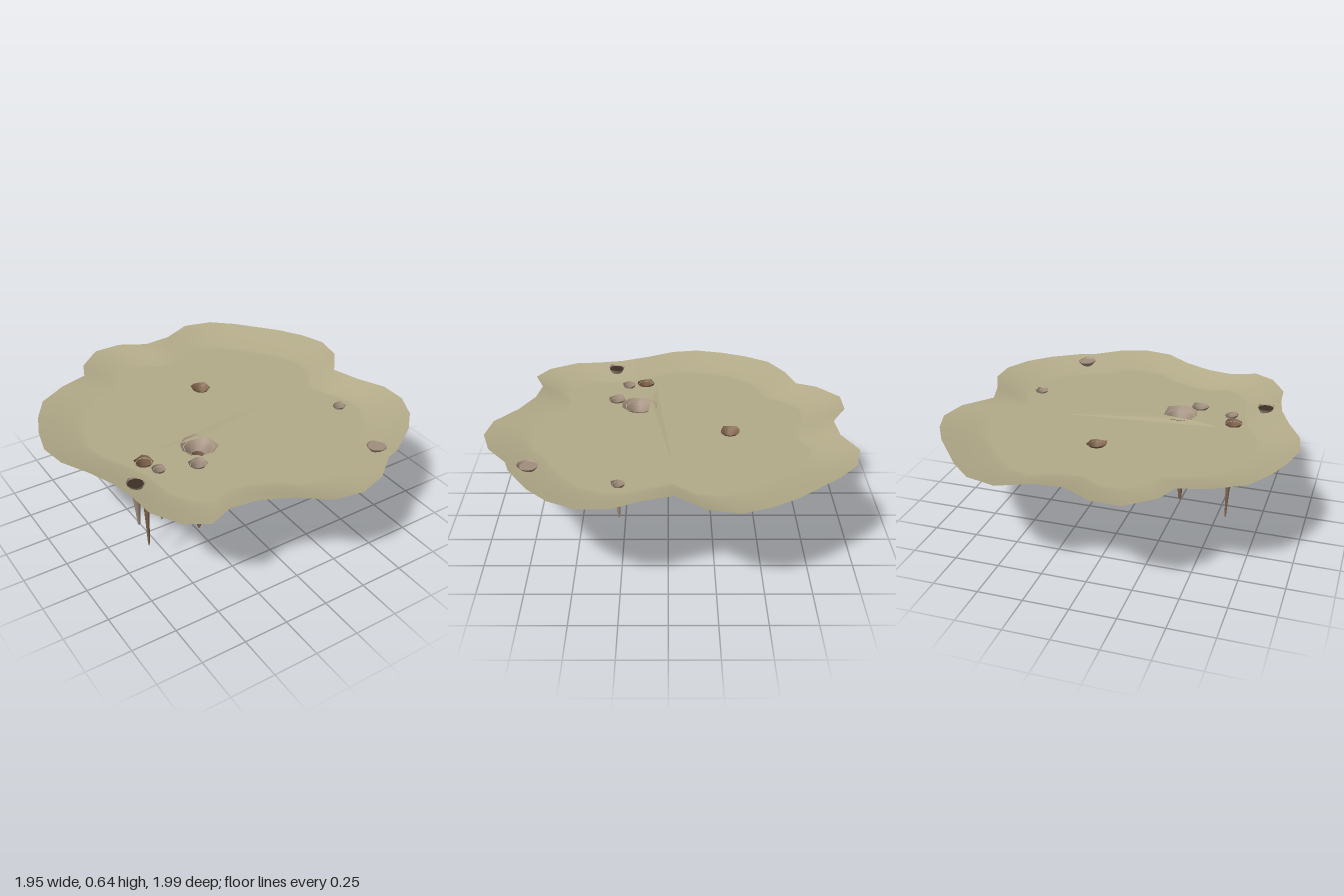
import * as THREE from 'three';

const RIM_Y = 0.64, FLOOR_Y = 0.59, FLOOR_SCALE = 0.76;

// Wavy rim, clockwise seen from above: x, z
const OUTLINE = [
  [-0.28, -1], [-0.12, -1], [0.03, -0.915], [0.19, -0.925], [0.36, -1], [0.525, -0.957], [0.646, -0.85],
  [0.836, -0.624], [0.92, -0.487], [0.97, -0.344], [0.94, -0.185], [0.815, -0.03], [0.863, 0.127],
  [0.935, 0.28], [0.935, 0.43], [0.863, 0.577], [0.75, 0.69], [0.57, 0.805], [0.49, 0.83], [0.35, 0.94],
  [0.19, 0.99], [0.03, 0.963], [-0.12, 0.847], [-0.28, 0.77], [-0.425, 0.746], [-0.565, 0.8], [-0.68, 0.73],
  [-0.77, 0.57], [-0.78, 0.43], [-0.805, 0.29], [-0.87, 0.127], [-0.95, -0.03], [-0.975, -0.185],
  [-0.937, -0.344], [-0.88, -0.487], [-0.79, -0.63], [-0.63, -0.72], [-0.467, -0.767], [-0.42, -0.88],
];

// Hanging spikes: mouth centre, tip position, mouth radius, neck radius, tip radius
const SPIKES = [
  { name: 'largeSpike', x: -0.25, z: 0.165, tip: [-0.26, 0.04, 0.17], r: 0.1, neck: 0.045, end: 0.011, mat: 'brown', collar: true },
  { name: 'longSpike', x: -0.565, z: 0.135, tip: [-0.55, 0, 0.11], r: 0.052, neck: 0.034, end: 0.005, mat: 'brown' },
  { name: 'twinSpike', x: -0.53, z: 0.235, tip: [-0.525, 0.26, 0.23], r: 0.037, neck: 0.021, end: 0.007, mat: 'pale' },
  { name: 'middleSpike', x: -0.335, z: 0.3, tip: [-0.34, 0.29, 0.305], r: 0.05, neck: 0.026, end: 0.01, mat: 'pale' },
  { name: 'rearSpike', x: 0.075, z: -0.34, tip: [0.08, 0.475, -0.33], r: 0.055, neck: 0.02, end: 0.004, mat: 'brown' },
  { name: 'sideSpike', x: 0.63, z: 0.25, tip: [0.635, 0.4, 0.25], r: 0.037, neck: 0.02, end: 0.006, mat: 'pale' },
  { name: 'outerSpike', x: -0.71, z: 0.32, tip: [-0.705, 0.365, 0.32], r: 0.05, neck: 0.026, end: 0.007, mat: 'pale', onRim: 'dark' },
  { name: 'frontSpike', x: 0.51, z: 0.71, tip: [0.51, 0.54, 0.715], r: 0.055, neck: 0.022, end: 0.004, mat: 'pale', onRim: 'pale' },
];

function randomFrom(seed) {
  return () => (seed = (seed * 16807) % 2147483647) / 2147483647;
}

// Skin a list of closed rings of [x, y, z]
function loft(rings) {
  const n = rings[0].length, index = [];
  for (let k = 0; k < rings.length - 1; k++) {
    for (let i = 0; i < n; i++) {
      const j = (i + 1) % n, a = k * n + i, b = k * n + j;
      index.push(a, b, a + n, b, b + n, a + n);
    }
  }
  const geo = new THREE.BufferGeometry();
  geo.setAttribute('position', new THREE.Float32BufferAttribute(rings.flat(2), 3));
  geo.setIndex(index);
  geo.computeVertexNormals();
  return geo;
}

export function createModel() {
  const group = new THREE.Group();
  const material = (name, color) => {
    const m = new THREE.MeshStandardMaterial({ color, side: THREE.DoubleSide });
    m.name = name;
    return m;
  };
  const mats = {
    stone: material('sandStone', 0xb3ab89),
    brown: material('brownRock', 0x80634b),
    pale: material('paleRock', 0xa08d7c),
    dark: material('darkHollow', 0x3d3026),
  };
  const add = (name, geo, mat, parent = group) => {
    const mesh = new THREE.Mesh(geo, mats[mat]);
    mesh.name = name;
    parent.add(mesh);
    return mesh;
  };

  // Sloping rim of the basin
  const profile = [[FLOOR_SCALE, FLOOR_Y], [0.8, FLOOR_Y + 0.004], [0.9, 0.615], [1, RIM_Y]];
  add('basinRim', loft(profile.map(([s, y]) => OUTLINE.map(([x, z]) => [x * s, y, z * s]))), 'stone');

  // Flat floor pierced below each mouth
  const floor = new THREE.Shape(OUTLINE.map(([x, z]) => new THREE.Vector2(x * FLOOR_SCALE, -z * FLOOR_SCALE)));
  for (const s of SPIKES.filter((s) => !s.onRim)) {
    const hole = new THREE.Path();
    hole.absarc(s.x, -s.z, s.r * 0.8, 0, Math.PI * 2, true);
    floor.holes.push(hole);
  }
  const floorGeo = new THREE.ShapeGeometry(floor, 5);
  floorGeo.rotateX(-Math.PI / 2).translate(0, FLOOR_Y, 0);
  add('basinFloor', floorGeo, 'stone');

  // Shallow crease running across the floor
  const fold = new THREE.BufferGeometry();
  fold.setAttribute('position', new THREE.Float32BufferAttribute([
    0.4, FLOOR_Y + 0.001, -0.02, -0.5, FLOOR_Y + 0.001, 0.07, -0.31, FLOOR_Y + 0.012, 0.1,
    0.4, FLOOR_Y + 0.001, -0.02, -0.31, FLOOR_Y + 0.012, 0.1, -0.17, FLOOR_Y + 0.012, 0.115,
  ], 3));
  fold.computeVertexNormals();
  add('floorCrease', fold, 'stone');

  // Hollow trumpet-shaped spikes with uneven mouths
  SPIKES.forEach((s, id) => {
    const rand = randomFrom(917 * (id + 3)), sides = 10;
    const spike = new THREE.Group();
    spike.name = s.name;
    group.add(spike);
    const top = s.onRim ? 0.636 : 0.602, [tx, ty, tz] = s.tip;
    const wobble = Array.from({ length: sides }, () => 0.9 + rand() * 0.22);
    const ring = (t, r, rough) => wobble.map((w, i) => {
      const a = (i / sides) * Math.PI * 2, rr = r * (1 + (w - 1) * rough);
      return [
        s.x + (tx - s.x) * t + Math.cos(a) * rr,
        top + (ty - top) * t + (w - 1) * 0.05 * rough,
        s.z + (tz - s.z) * t + Math.sin(a) * rr,
      ];
    });
    const drop = top - ty, mix = THREE.MathUtils.lerp;
    const t1 = Math.min(0.3, 0.025 / drop), t2 = Math.min(0.5, 0.07 / drop);
    const upper = [ring(0, s.r, 1), ring(t1, mix(s.neck, s.r, 0.4), 1), ring(t2, s.neck, 0.8)];
    const lower = [
      ring(mix(t2, 1, 0.2), mix(s.end, s.neck, 0.68), 0.6),
      ring(mix(t2, 1, 0.5), mix(s.end, s.neck, 0.35), 0.5),
      ring(mix(t2, 1, 0.96), s.end, 0.4),
      ring(1, 0.0005, 0),
    ];
    if (s.collar) {
      add('collar', loft(upper), 'pale', spike);
      add('shaft', loft([upper[2], ...lower]), s.mat, spike);
    } else {
      add('shaft', loft([...upper, ...lower]), s.mat, spike);
    }
    // Mouths on the rim end in a small plate
    if (s.onRim) {
      const plate = new THREE.CircleGeometry(s.r * 0.85, sides);
      plate.rotateX(-Math.PI / 2).translate(s.x, top - 0.006, s.z);
      add('hollow', plate, s.onRim, spike);
    }
  });
  return group;
}
